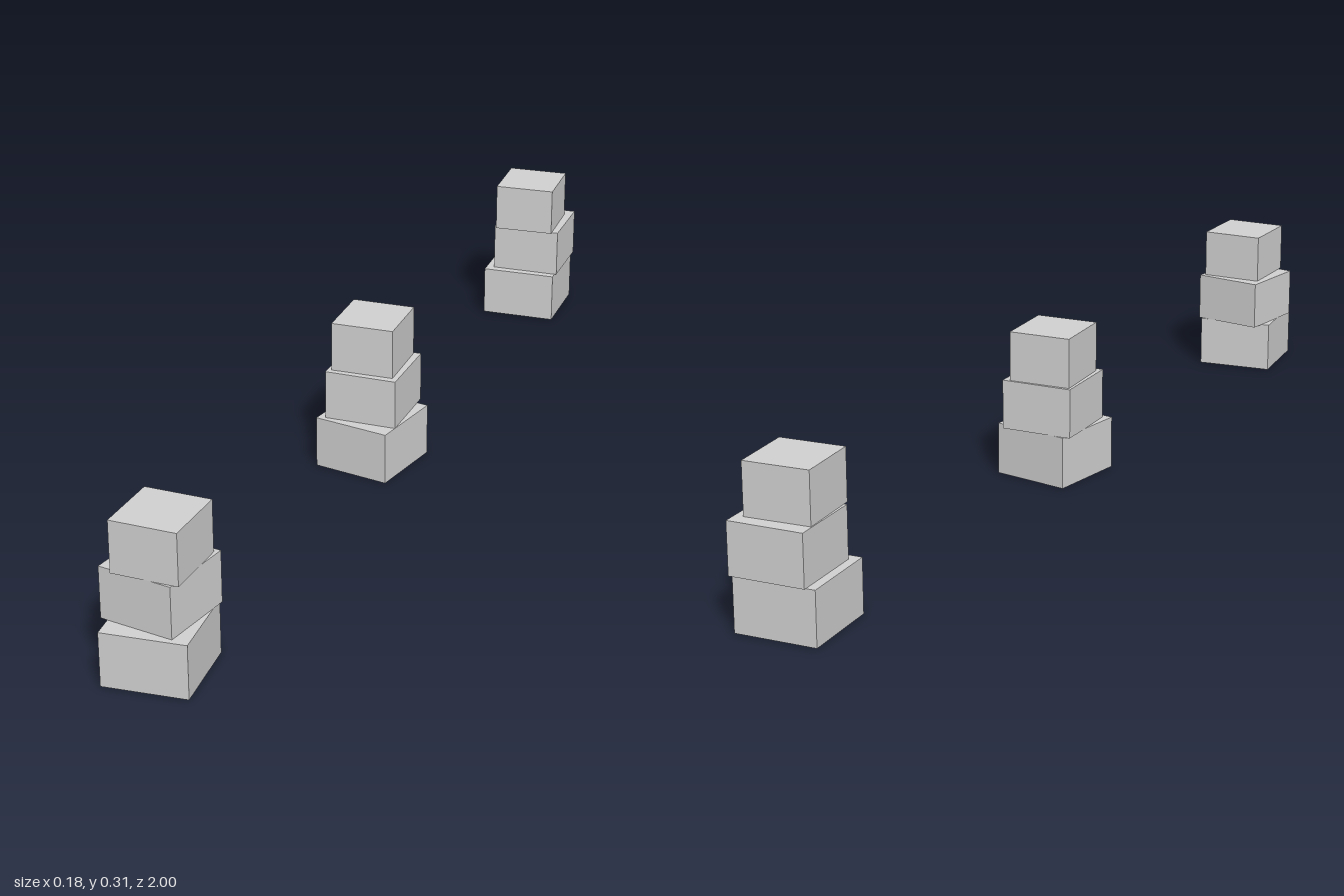
import * as THREE from 'three';

const stone = new THREE.MeshStandardMaterial({ color: 0xd2d2d2 });
stone.name = 'light grey stone';

// Each block: width, depth, centre x, centre z, turn about y
const stacks = {
  frontStack: [
    [0.16, 0.165, 0.002, 0.907, 0.135],
    [0.147, 0.152, -0.004, 0.887, -0.12],
    [0.128, 0.135, 0.007, 0.899, 0.025],
  ],
  middleStack: [
    [0.16, 0.166, 0, 0.002, -0.13],
    [0.147, 0.152, -0.004, -0.014, 0.055],
    [0.127, 0.133, -0.007, -0.018, 0.08],
  ],
  backStack: [
    [0.16, 0.165, -0.005, -0.905, 0.09],
    [0.147, 0.152, 0.005, -0.917, 0.085],
    [0.128, 0.132, 0.001, -0.897, 0.115],
  ],
};

// Bottom and top height of each layer
const layers = [
  ['bottomBlock', 0, 0.105],
  ['centreBlock', 0.105, 0.205],
  ['topBlock', 0.205, 0.305],
];

export function createModel() {
  const model = new THREE.Group();
  model.name = 'stackedBlocks';

  // Three piles of slightly twisted blocks in a row along z
  for (const [stackName, blocks] of Object.entries(stacks)) {
    const stack = new THREE.Group();
    stack.name = stackName;
    blocks.forEach(([width, depth, x, z, turn], i) => {
      const [name, low, high] = layers[i];
      const block = new THREE.Mesh(new THREE.BoxGeometry(width, high - low, depth), stone);
      block.name = name;
      block.position.set(x, (low + high) / 2, z);
      block.rotation.y = turn;
      stack.add(block);
    });
    model.add(stack);
  }
  return model;
}
